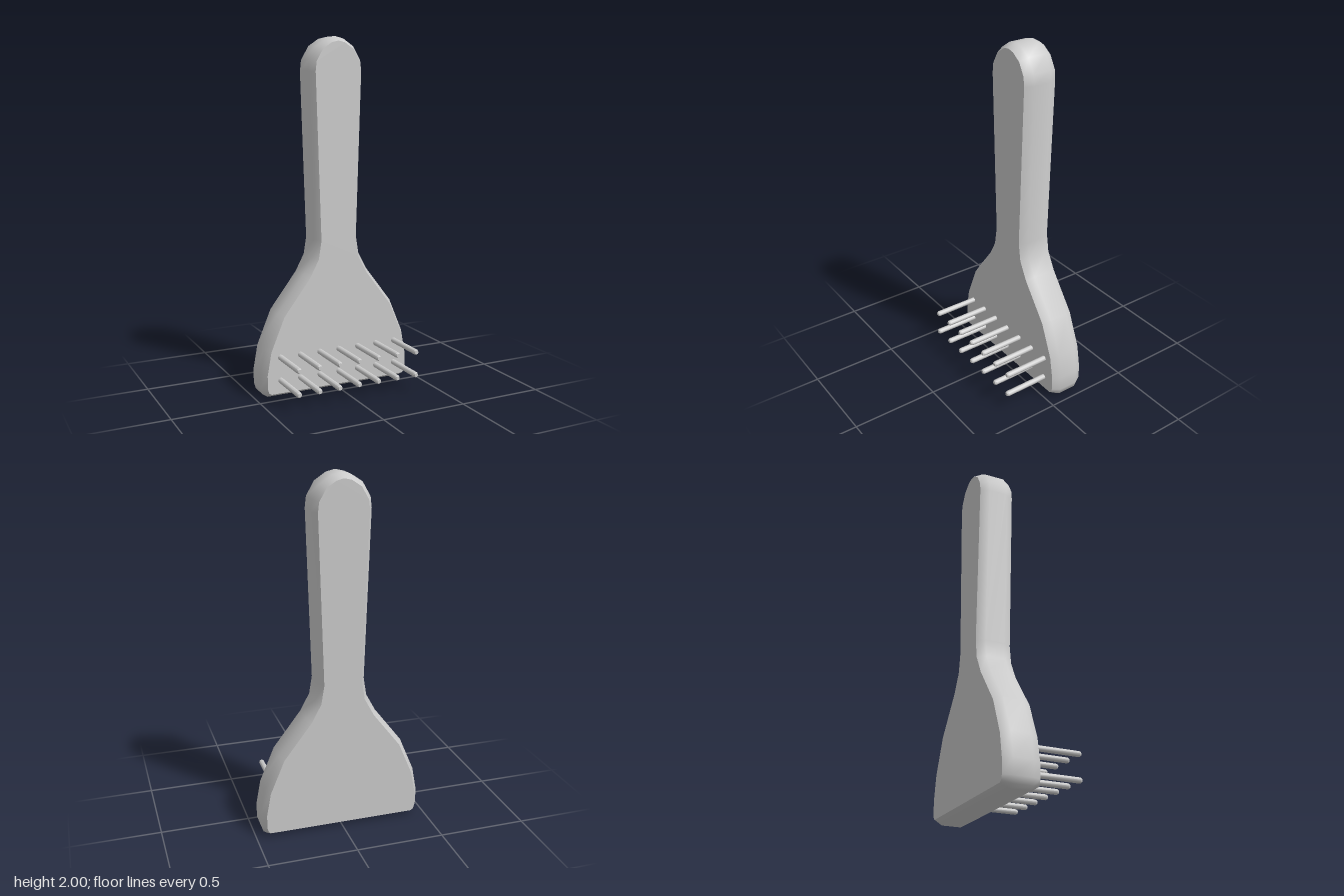
import * as THREE from 'three';
import { toCreasedNormals } from 'three/addons/utils/BufferGeometryUtils.js';

const BACK = -0.235, FRONT = -0.035; // z range of the body
const BEVEL_DEPTH = 0.045, BEVEL_INSET = 0.025;

// Right half of the paddle outline, bottom to top
const HALF = [
  [0.425, 0], [0.453, 0.018], [0.465, 0.055], [0.465, 0.14], [0.44, 0.277], [0.357, 0.475],
  [0.2, 0.68], [0.148, 0.777], [0.132, 0.877], [0.163, 1.81], [0.156, 1.87], [0.112, 1.947], [0.05, 1.988],
];

function createBody(material) {
  const right = HALF.map(([x, y]) => new THREE.Vector2(x, y));
  const left = HALF.map(([x, y]) => new THREE.Vector2(-x, y)).reverse();
  const outline = new THREE.Shape([...right, new THREE.Vector2(0, 2), ...left]);
  const geometry = new THREE.ExtrudeGeometry(outline, {
    depth: FRONT - BACK - 2 * BEVEL_DEPTH,
    bevelThickness: BEVEL_DEPTH,
    bevelSize: BEVEL_INSET,
    bevelOffset: -BEVEL_INSET,
    bevelSegments: 1,
  });
  geometry.translate(0, 0, BACK + BEVEL_DEPTH);
  const body = new THREE.Mesh(toCreasedNormals(geometry, 0.87), material);
  body.name = 'paddleBody';
  return body;
}

function createPins(material) {
  const pins = new THREE.Group();
  pins.name = 'pins';
  // Thin rod with a chamfered tip, turned to point forward
  const profile = [[0, -0.06], [0.016, -0.06], [0.016, 0.222], [0.011, 0.232], [0, 0.232]]
    .map(([r, h]) => new THREE.Vector2(r, h));
  const geometry = toCreasedNormals(new THREE.LatheGeometry(profile, 8).rotateX(Math.PI / 2), 0.87);
  for (const y of [0.102, 0.236]) {
    for (let i = -3; i <= 3; i++) {
      const pin = new THREE.Mesh(geometry, material);
      pin.name = 'pin';
      pin.position.set(i * 0.1205, y, 0);
      pins.add(pin);
    }
  }
  return pins;
}

export function createModel() {
  const material = new THREE.MeshStandardMaterial({ color: 0xcccccc });
  const model = new THREE.Group();
  model.name = 'pinPaddle';
  model.add(createBody(material), createPins(material));
  return model;
}
